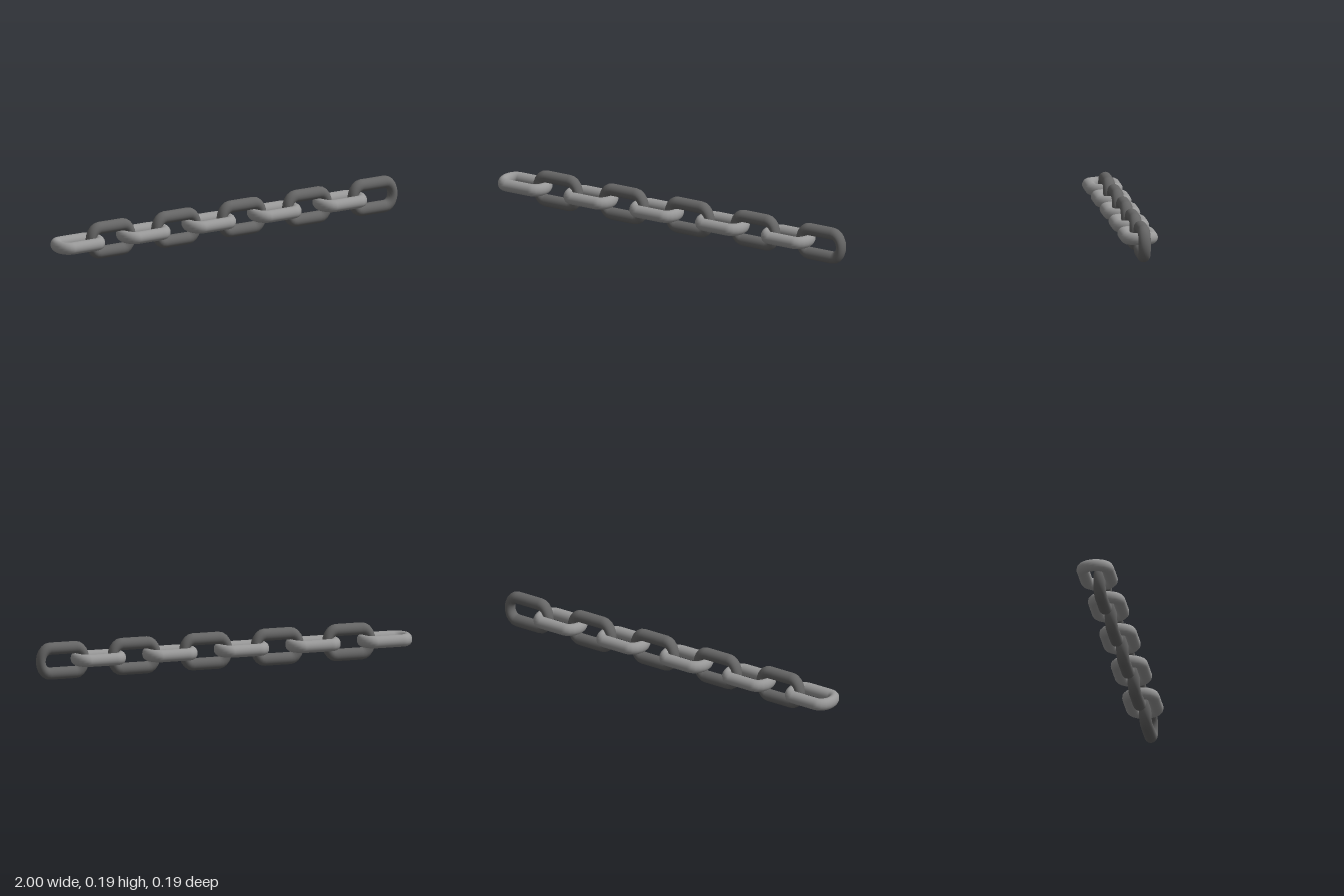
import * as THREE from 'three';
import { mergeGeometries } from 'three/addons/utils/BufferGeometryUtils.js';

const LINKS = 10;
const LENGTH = 0.28;                          // overall length of one link
const PITCH = (2 - LENGTH) / (LINKS - 1);
const TUBE = 0.031;                           // bar radius
const RADIUS = 0.063;                         // centreline radius of the bends
const SQUASH = 0.76;                          // bends are flattened lengthwise
const HALF_BAR = LENGTH / 2 - (RADIUS + TUBE) * SQUASH;

// One link in the xy plane: two flattened half rings joined by two straight bars
function linkGeometry() {
  const parts = [];
  for (const side of [1, -1]) {
    const bend = new THREE.TorusGeometry(RADIUS, TUBE, 20, 10, Math.PI);
    bend.rotateZ(-Math.PI / 2);
    bend.scale(SQUASH, 1, 1);
    bend.translate(HALF_BAR, 0, 0);
    if (side < 0) bend.rotateZ(Math.PI);
    parts.push(bend);

    const bar = new THREE.CylinderGeometry(TUBE, TUBE, HALF_BAR * 2, 20, 1, true);
    bar.rotateZ(Math.PI / 2);
    bar.translate(0, side * RADIUS, 0);
    parts.push(bar);
  }
  return mergeGeometries(parts);
}

export function createModel() {
  const chain = new THREE.Group();
  chain.name = 'chain';
  const geometry = linkGeometry();
  const light = new THREE.MeshStandardMaterial({ color: 0x999999 });
  const dark = new THREE.MeshStandardMaterial({ color: 0x666666 });

  // Alternate flat and upright links along x
  for (let i = 0; i < LINKS; i++) {
    const flat = i % 2 === 0;
    const link = new THREE.Mesh(geometry, flat ? light : dark);
    link.name = (flat ? 'flatLink' : 'uprightLink') + (i + 1);
    link.position.set(-1 + LENGTH / 2 + i * PITCH, RADIUS + TUBE, 0);
    if (flat) link.rotation.x = Math.PI / 2;
    chain.add(link);
  }
  return chain;
}
